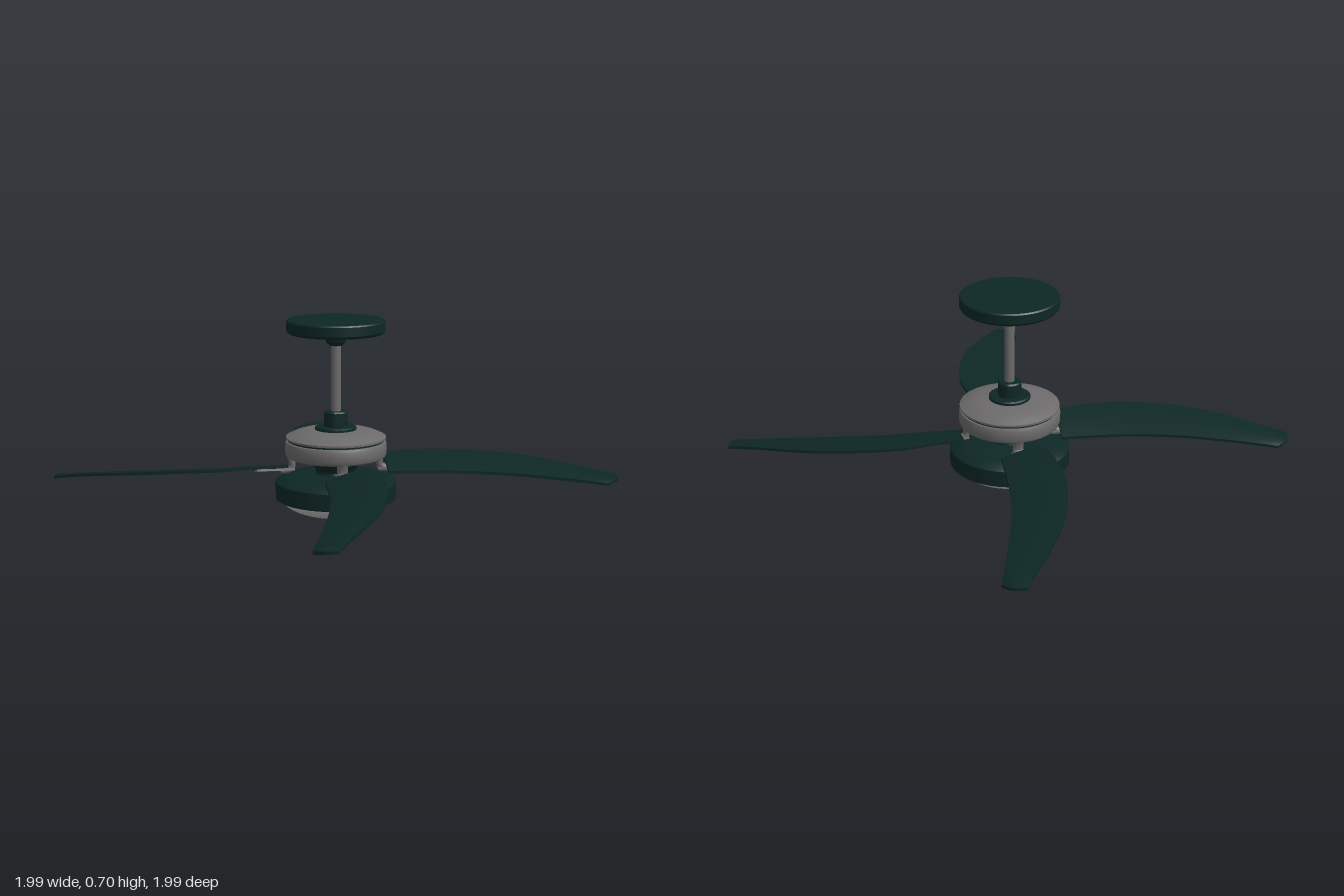
import * as THREE from 'three';
import { toCreasedNormals } from 'three/addons/utils/BufferGeometryUtils.js';

const mat = (name, color) => {
  const m = new THREE.MeshStandardMaterial({ color });
  m.name = name;
  return m;
};

export function createModel() {
  const green = mat('dark green', 0x0d2725);
  const metal = mat('grey metal', 0x6c6a6a);
  const glass = mat('frosted glass', 0xbcbcbc);
  const model = new THREE.Group();
  model.name = 'ceilingFan';

  const add = (parent, name, geometry, material) => {
    const mesh = new THREE.Mesh(geometry, material);
    mesh.name = name;
    parent.add(mesh);
    return mesh;
  };
  // Turned part; the profile runs from bottom to top as [radius, height]
  const turned = (name, profile, material, segments = 64) => add(model, name,
    toCreasedNormals(new THREE.LatheGeometry(profile.map(p => new THREE.Vector2(...p)), segments), 0.5), material);

  // Ceiling mount and rod
  turned('canopy', [[0, 0.645], [0.06, 0.645], [0.165, 0.658], [0.172, 0.663], [0.175, 0.668],
    [0.175, 0.7], [0.171, 0.705], [0, 0.705]], green);
  turned('hangerBall', [[0, 0.612], [0.022, 0.614], [0.034, 0.625], [0.039, 0.638], [0.039, 0.65]], green, 32);
  turned('downRod', [[0.018, 0.33], [0.018, 0.63]], metal, 24);
  turned('rodCoupler', [[0.042, 0.315], [0.042, 0.375], [0.038, 0.38], [0, 0.38]], green, 32);

  // Motor housing
  turned('motorCollar', [[0.074, 0.305], [0.074, 0.322], [0.068, 0.326], [0, 0.326]], green, 48);
  turned('motorHousing', [[0, 0.207], [0.11, 0.207], [0.165, 0.213], [0.177, 0.22], [0.181, 0.23],
    [0.181, 0.262], [0.177, 0.272], [0.168, 0.274], [0.168, 0.28], [0.178, 0.281], [0.178, 0.288],
    [0.165, 0.294], [0.15, 0.301], [0.13, 0.307], [0.1, 0.313], [0, 0.317]], metal);
  turned('motorTrim', [[0.16, 0.273], [0.172, 0.274], [0.172, 0.28], [0.16, 0.281]], green);

  // Light kit below the motor
  turned('neck', [[0.075, 0.15], [0.07, 0.165], [0.078, 0.182], [0.1, 0.2], [0.106, 0.209]], green, 48);
  turned('lightBowl', [[0.19, 0.066], [0.208, 0.062], [0.215, 0.066], [0.215, 0.125], [0.208, 0.131],
    [0.17, 0.145], [0.11, 0.156], [0, 0.157]], green);
  const dome = [];
  for (let i = 0; i <= 12; i++) {
    const a = i / 12 * Math.PI / 2;
    dome.push([0.195 * Math.sin(a), 0.068 - 0.068 * Math.cos(a)]);
  }
  turned('glassDome', dome, glass);

  // Four swept blades with their brackets
  const bladeGeometry = makeBlade();
  const plate = new THREE.Shape([[0.15, -0.022], [0.19, -0.024], [0.285, -0.05], [0.275, 0],
    [0.285, 0.05], [0.19, 0.024], [0.15, 0.022]].map(p => new THREE.Vector2(...p)));
  const plateGeometry = new THREE.ExtrudeGeometry(plate, { depth: 0.008, bevelEnabled: false });
  plateGeometry.translate(0, 0, -0.004).rotateX(Math.PI / 2 + 0.245).translate(0, 0.171, 0);
  const armPath = new THREE.CatmullRomCurve3([[0.165, 0.225], [0.158, 0.2], [0.158, 0.182], [0.17, 0.172], [0.2, 0.17]]
    .map(([x, y]) => new THREE.Vector3(x, y, 0)));
  const armGeometry = new THREE.TubeGeometry(armPath, 16, 0.012, 10).scale(1, 1, 1.6);
  for (let i = 0; i < 4; i++) {
    const arm = new THREE.Group();
    arm.name = 'bladeAssembly';
    arm.rotation.y = i * Math.PI / 2;
    add(arm, 'blade', bladeGeometry, green);
    add(arm, 'bracketPlate', plateGeometry, metal);
    add(arm, 'bracketArm', armGeometry, metal);
    model.add(arm);
  }
  return model;
}

// Pitched blade lofted between a high back edge and a low front edge
function makeBlade() {
  const curve = pts => new THREE.CatmullRomCurve3(pts.map(p => new THREE.Vector3(...p)));
  const back = curve([[0.18, 0.202, -0.088], [0.3, 0.204, -0.104], [0.41, 0.2, -0.112], [0.59, 0.192, -0.08],
    [0.72, 0.181, -0.032], [0.83, 0.168, 0.03], [0.93, 0.153, 0.095], [0.997, 0.14, 0.135]]);
  const front = curve([[0.18, 0.164, 0.065], [0.3, 0.163, 0.071], [0.43, 0.16, 0.08], [0.55, 0.156, 0.1],
    [0.65, 0.151, 0.123], [0.75, 0.144, 0.151], [0.85, 0.136, 0.18], [0.94, 0.127, 0.208]]);
  const rows = 32, cols = 8, ring = 2 * (cols + 1);
  const pos = [], idx = [];
  for (let s = 0; s <= rows; s++) {
    const t = s / rows, b = back.getPoint(t), f = front.getPoint(t);
    const bulge = 0.014 * Math.max(0, (t - 0.85) / 0.15);   // rounded tip
    for (let j = 0; j < ring; j++) {
      const top = j <= cols, u = (top ? j : ring - 1 - j) / cols;
      const p = b.clone().lerp(f, u), arch = Math.sin(Math.PI * u);
      pos.push(p.x + bulge * arch, p.y + 0.004 * arch + (top ? 0.005 : -0.005), p.z + bulge * arch);
    }
  }
  for (let s = 0; s < rows; s++) for (let j = 0; j < ring; j++) {
    const a = s * ring + j, c = s * ring + (j + 1) % ring;
    idx.push(a, c, a + ring, c, c + ring, a + ring);
  }
  // Root and tip caps
  const end = rows * ring;
  for (let j = 0; j < cols; j++) {
    const k = ring - 1 - j;
    idx.push(end + j, end + j + 1, end + k, end + j + 1, end + k - 1, end + k);
    idx.push(j, k, j + 1, j + 1, k, k - 1);
  }
  const g = new THREE.BufferGeometry();
  g.setAttribute('position', new THREE.Float32BufferAttribute(pos, 3));
  g.setIndex(idx);
  return toCreasedNormals(g, 0.6);
}
